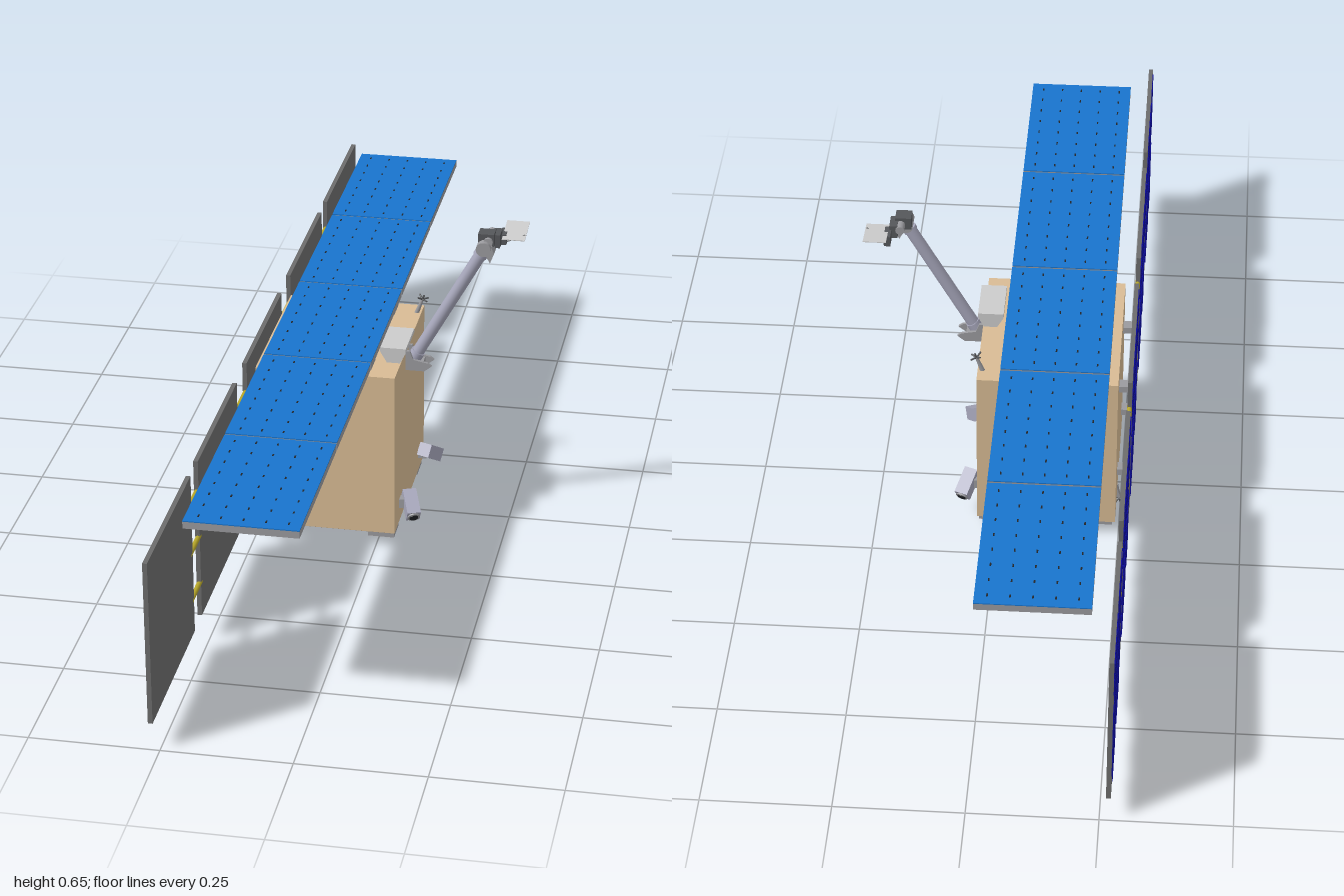
import * as THREE from 'three';
import { mergeGeometries } from 'three/addons/utils/BufferGeometryUtils.js';

const mat = (color, extra = {}) => new THREE.MeshStandardMaterial({ color, ...extra });
const TAN = mat(0xd8bb94), GREY = mat(0x9a9a9e), STEEL = mat(0xa6a6ba), DARK = mat(0x55575a),
  PANEL = mat(0x6c6c6c), CELL = mat(0x0a0a9c), BLUE = mat(0x1874cd), YELLOW = mat(0xb5a52a),
  LIGHT = mat(0xc8c8c8), BLACK = mat(0x222428), BASE = mat(0xa08c70);

const V = (x, y, z) => new THREE.Vector3(x, y, z);

function add(parent, name, geometry, material) {
  const mesh = new THREE.Mesh(geometry, material);
  mesh.name = name;
  parent.add(mesh);
  return mesh;
}

// Box given by its lower and upper limits
const span = (x0, x1, y0, y1, z0, z1) =>
  new THREE.BoxGeometry(x1 - x0, y1 - y0, z1 - z0)
    .translate((x0 + x1) / 2, (y0 + y1) / 2, (z0 + z1) / 2);

// Round rod between two points
function rod(a, b, r, r2 = r, sides = 20) {
  const d = b.clone().sub(a);
  const q = new THREE.Quaternion().setFromUnitVectors(V(0, 1, 0), d.clone().normalize());
  return new THREE.CylinderGeometry(r2, r, d.length(), sides)
    .applyQuaternion(q).translate(...a.clone().add(b).multiplyScalar(0.5).toArray());
}

// Outline in x, y carried from z0 to z1
const prism = (pts, z0, z1) =>
  new THREE.ExtrudeGeometry(new THREE.Shape(pts.map(p => new THREE.Vector2(...p))),
    { depth: z1 - z0, bevelEnabled: false }).translate(0, 0, z0);

// Solar panel with cells on its outer face, split by one bare strip
function solarPanel(zc, uprightStrip) {
  const g = new THREE.Group();
  g.name = 'solarPanel';
  add(g, 'panelBoard', span(-0.271, -0.262, 0.06, 0.395, -0.17, 0.17), PANEL);
  const cells = [], along = 8, across = 5, long = 0.322 / along, short = 0.142 / across;
  for (const half of [-1, 1])
    for (let i = 0; i < along; i++)
      for (let j = 0; j < across; j++) {
        if (j === across - 1 && (i === 0 || i === 5)) continue;
        const u = -0.161 + (i + 0.5) * long, v = half * (0.021 + (j + 0.5) * short);
        const [y, z, h, w] = uprightStrip ? [u, v, long, short] : [v, u, short, long];
        cells.push(new THREE.BoxGeometry(0.002, h - 0.003, w - 0.003).translate(-0.2715, 0.2275 + y, z));
      }
  add(g, 'solarCells', mergeGeometries(cells), CELL);
  g.position.z = zc;
  return g;
}

// Flat radar antenna segment, radiating face upward
function antennaSegment(zc) {
  const g = new THREE.Group();
  g.name = 'antennaSegment';
  add(g, 'antennaFrame', span(-0.225, -0.008, 0.406, 0.42, -0.174, 0.174), GREY);
  add(g, 'antennaFace', span(-0.225, -0.008, 0.42, 0.422, -0.174, 0.174), BLUE);
  add(g, 'antennaUnderside', span(-0.222, -0.011, 0.4045, 0.406, -0.171, 0.171), DARK);
  const dots = [];
  for (let i = 0; i < 5; i++)
    for (let j = 0; j < 8; j++)
      dots.push(new THREE.BoxGeometry(0.003, 0.0008, 0.008)
        .translate(-0.2 + i * 0.042, 0.4222, -0.15 + j * 0.043));
  add(g, 'antennaFasteners', mergeGeometries(dots), BLACK);
  g.position.z = zc;
  return g;
}

// Small whip antenna with four splayed prongs
function whip(base, tip, reach) {
  const g = new THREE.Group();
  g.name = 'whipAntenna';
  add(g, 'whipMast', rod(base, tip, 0.005, 0.003, 10), GREY);
  const dir = tip.clone().sub(base).normalize();
  const side = V(0, 0, 1), other = dir.clone().cross(side).normalize();
  for (let k = 0; k < 4; k++) {
    const a = Math.PI / 4 + k * Math.PI / 2;
    const end = tip.clone().addScaledVector(side, Math.cos(a) * reach)
      .addScaledVector(other, Math.sin(a) * reach).addScaledVector(dir, 0.004);
    add(g, 'whipProng', rod(tip, end, 0.0018, 0.0018, 8), DARK);
  }
  add(g, 'whipTip', rod(tip, tip.clone().addScaledVector(dir, 0.01), 0.002, 0.002, 8), DARK);
  return g;
}

export function createModel() {
  const model = new THREE.Group();
  model.name = 'satellite';

  // Main body and base plate
  add(model, 'body', span(-0.243, 0.04, 0.039, 0.39, -0.175, 0.175), TAN);
  add(model, 'basePlate', span(-0.238, 0.035, 0.036, 0.039, -0.17, 0.17), BASE);

  // Toothed docking ring under the body
  const ring = new THREE.Group();
  ring.name = 'dockingRing';
  ring.position.set(-0.102, 0.036, 0);
  const profile = [[0.078, 0.001], [0.078, -0.003], [0.092, -0.003], [0.092, 0.001]]
    .map(p => new THREE.Vector2(...p));
  add(ring, 'ringBand', new THREE.LatheGeometry(profile, 64), mat(0x8c8c8c, { side: THREE.DoubleSide }));
  const teeth = [];
  for (let i = 0; i < 32; i++)
    teeth.push(new THREE.BoxGeometry(0.012, 0.005, 0.009).translate(0.088, -0.003, 0)
      .rotateY(i * Math.PI / 16));
  add(ring, 'ringTeeth', mergeGeometries(teeth), GREY);
  model.add(ring);

  // Corner feet
  for (const x of [-0.21, 0.01])
    for (const z of [-0.138, 0.138]) {
      const foot = new THREE.Group();
      foot.name = 'foot';
      foot.position.set(x, 0, z);
      add(foot, 'footBlock', span(-0.027, 0.027, 0.024, 0.04, -0.027, 0.027), GREY);
      add(foot, 'footRim', span(-0.024, 0.024, 0.0215, 0.024, -0.024, 0.024), LIGHT);
      add(foot, 'footPad', span(-0.015, 0.015, 0.0205, 0.0215, -0.015, 0.015), BLACK);
      model.add(foot);
    }

  // Radar antenna and its supports
  for (let i = -2; i <= 2; i++) model.add(antennaSegment(i * 0.354 - 0.002));
  for (const x of [-0.209, -0.023])
    for (const z of [-0.13, 0.13]) {
      add(model, 'antennaSupport', span(x - 0.01, x + 0.01, 0.388, 0.4, z - 0.014, z + 0.014), GREY);
      add(model, 'antennaSupportCap', span(x - 0.013, x + 0.013, 0.398, 0.406, z - 0.017, z + 0.017), GREY);
    }

  // Solar panels, connecting rods and wall mounts
  for (const z of [-0.83, -0.43, 0, 0.43, 0.83]) model.add(solarPanel(z, z === -0.83));
  for (const s of [-1, 1])
    for (const y of [0.13, 0.23, 0.33])
      for (const [a, b] of [[0.16, 0.27], [0.59, 0.67]])
        add(model, 'panelRod', rod(V(-0.266, y, s * a), V(-0.266, y, s * b), 0.005), YELLOW);
  for (const y of [0.12, 0.333])
    for (const z of [-0.1, 0.1])
      add(model, 'panelMount', span(-0.264, -0.242, y - 0.007, y + 0.007, z - 0.012, z + 0.012), GREY);

  // Flared sensor box on the roof
  add(model, 'sensorBox', prism([[0.012, 0.389], [0.038, 0.389], [0.05, 0.413], [0.05, 0.422],
    [-0.002, 0.422], [-0.002, 0.413]], 0.005, 0.105), LIGHT);

  // Boom with hinge bracket
  const hinge = [[0.038, 0.39], [0.038, 0.348], [0.078, 0.348], [0.093, 0.36], [0.085, 0.366], [0.055, 0.372], [0.048, 0.39]];
  for (const z of [0.01, 0.042]) add(model, 'hingePlate', prism(hinge, z, z + 0.006), GREY);
  add(model, 'hingeBlock', span(0.038, 0.075, 0.35, 0.366, 0.014, 0.044), GREY);
  const foot = V(0.055, 0.37, 0.029), top = V(0.19, 0.612, 0.029);
  add(model, 'boom', rod(foot, top, 0.0125, 0.0125, 32), STEEL);
  add(model, 'boomLowerCollar', rod(foot, foot.clone().lerp(top, 0.06), 0.0145, 0.0145, 32), STEEL);
  add(model, 'boomUpperCollar', rod(top.clone().lerp(foot, 0.03), top, 0.0145, 0.0145, 32), STEEL);

  // Pointing head with drive drums
  const head = new THREE.Group();
  head.name = 'pointingHead';
  add(head, 'headDrum', rod(V(0.195, 0.625, 0.01), V(0.195, 0.625, 0.046), 0.015), GREY);
  add(head, 'headBlock', span(0.182, 0.214, 0.626, 0.652, 0.0, 0.03), DARK);
  add(head, 'headSideDrum', rod(V(0.203, 0.637, -0.022), V(0.203, 0.637, 0.036), 0.009), GREY);
  add(head, 'headBracket', prism([[0.195, 0.618], [0.208, 0.594], [0.216, 0.615], [0.21, 0.63]], 0.012, 0.04), GREY);
  add(head, 'headMotor', span(0.208, 0.224, 0.618, 0.646, -0.02, 0.016), DARK);
  add(head, 'headLink', span(0.22, 0.233, 0.615, 0.637, -0.045, -0.008), DARK);
  model.add(head);

  // Reflector plate with strut
  const plate = add(model, 'reflectorPlate', new THREE.BoxGeometry(0.046, 0.0015, 0.076), LIGHT);
  plate.position.set(0.249, 0.637, -0.033);
  plate.rotation.x = 0.12;
  for (const z of [-0.04, -0.015])
    add(model, 'reflectorStrut', rod(V(0.23, 0.618, z), V(0.27, 0.637, z), 0.001, 0.001, 8), DARK);

  // Cameras on the side wall, aimed outward and down
  for (const s of [-1, 1]) {
    const cam = new THREE.Group();
    cam.name = 'camera';
    add(cam, 'cameraHousing', new THREE.BoxGeometry(0.028, 0.028, 0.058), STEEL);
    add(cam, 'cameraRim', new THREE.CylinderGeometry(0.0125, 0.0125, 0.004, 24)
      .rotateX(Math.PI / 2).translate(0, 0, 0.03), GREY);
    add(cam, 'cameraLens', new THREE.CylinderGeometry(0.009, 0.009, 0.002, 24)
      .rotateX(Math.PI / 2).translate(0, 0, 0.0325), BLACK);
    cam.position.set(0.064, 0.079, s * 0.118);
    cam.lookAt(cam.position.clone().add(V(0.3, -0.5, s * 0.75)));
    model.add(cam);
    add(model, 'cameraMount', span(0.038, 0.058, 0.07, 0.09, s * 0.112 - 0.01, s * 0.112 + 0.01), GREY);
  }

  // Whip antennas above and below
  model.add(whip(V(0.03, 0.388, -0.14), V(0.042, 0.42, -0.14), 0.014));
  model.add(whip(V(-0.24, 0.05, -0.065), V(-0.248, 0.014, -0.065), 0.017));
  add(model, 'whipBracket', prism([[-0.24, 0.055], [-0.25, 0.022], [-0.24, 0.022], [-0.23, 0.04]], -0.072, -0.058), GREY);

  return model;
}
